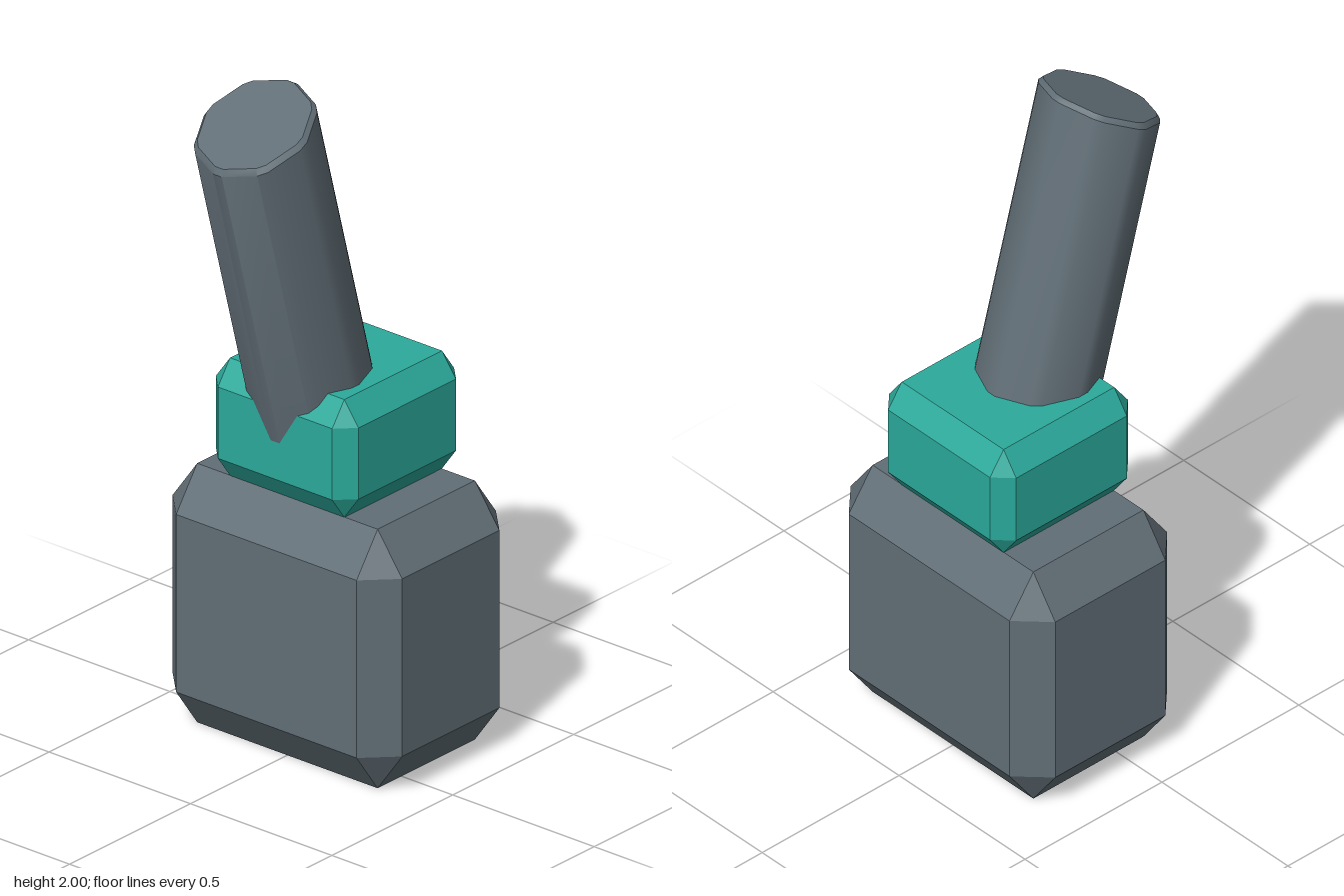
import * as THREE from 'three';
import { ConvexGeometry } from 'three/addons/geometries/ConvexGeometry.js';
import { toCreasedNormals } from 'three/addons/utils/BufferGeometryUtils.js';

const slate = new THREE.MeshStandardMaterial({ color: 0x616e76 });
const teal = new THREE.MeshStandardMaterial({ color: 0x2ba99b });

function part(name, geometry, material) {
  const mesh = new THREE.Mesh(geometry, material);
  mesh.name = name;
  return mesh;
}

// Box with every edge chamfered: half = half sizes, cut = chamfer along each axis
function chamferedBox(half, cut) {
  const points = [];
  for (const sx of [-1, 1]) for (const sy of [-1, 1]) for (const sz of [-1, 1]) {
    for (let axis = 0; axis < 3; axis++) {
      const p = [0, 1, 2].map(i => half[i] - (i === axis ? 0 : cut[i]));
      points.push(new THREE.Vector3(sx * p[0], sy * p[1], sz * p[2]));
    }
  }
  return new ConvexGeometry(points);
}

// Leaning octagonal bar with narrow bevels on its long edges and a slanted, bevelled end
function leaningBar() {
  const lean = THREE.MathUtils.degToRad(15.2), slant = 0.218, bevel = 0.09;
  const top = new THREE.Vector3(0, 1.924, 0.235);
  const axis = new THREE.Vector3(0, Math.cos(lean), Math.sin(lean));
  const across = new THREE.Vector3(0, -Math.sin(lean), Math.cos(lean));
  const levels = [[-1.08, 1], [-0.015, 1], [0, 0.93]]; // distance along the bar, scale
  const n = 16, pos = [], index = [];
  const add = (x, v, h) => {
    const p = top.clone().addScaledVector(axis, h - slant * v).addScaledVector(across, v);
    pos.push(p.x + x, p.y, p.z);
  };
  for (const [h, s] of levels) {
    for (let i = 0; i < n; i++) {
      const a = Math.floor(i / 2) * Math.PI / 4 + (i % 2 ? bevel : -bevel);
      add(0.171 * s * Math.sin(a), 0.174 * s * Math.cos(a), h);
    }
  }
  add(0, 0, levels[0][0]);
  add(0, 0, 0);
  const bottomCentre = 3 * n, topCentre = 3 * n + 1;
  for (let i = 0; i < n; i++) {
    const j = (i + 1) % n;
    for (let r = 0; r < 2; r++) {
      const a = r * n + i, b = r * n + j;
      index.push(a, b, b + n, a, b + n, a + n);
    }
    index.push(bottomCentre, j, i, topCentre, 2 * n + i, 2 * n + j);
  }
  const geometry = new THREE.BufferGeometry();
  geometry.setAttribute('position', new THREE.Float32BufferAttribute(pos, 3));
  geometry.setIndex(index);
  return toCreasedNormals(geometry, 0.6);
}

export function createModel() {
  const group = new THREE.Group();
  group.name = 'model';

  // Heavy block at the foot
  const base = part('baseBlock', chamferedBox([0.406, 0.385, 0.288], [0.087, 0.121, 0.087]), slate);
  base.position.set(0, 0.385, -0.102);

  // Coloured collar on top of the block
  const collar = part('collar', chamferedBox([0.252, 0.175, 0.252], [0.05, 0.069, 0.05]), teal);
  collar.position.set(0, 0.945, -0.102);

  // Bar leaning forward out of the collar
  group.add(base, collar, part('leaningBar', leaningBar(), slate));
  return group;
}
